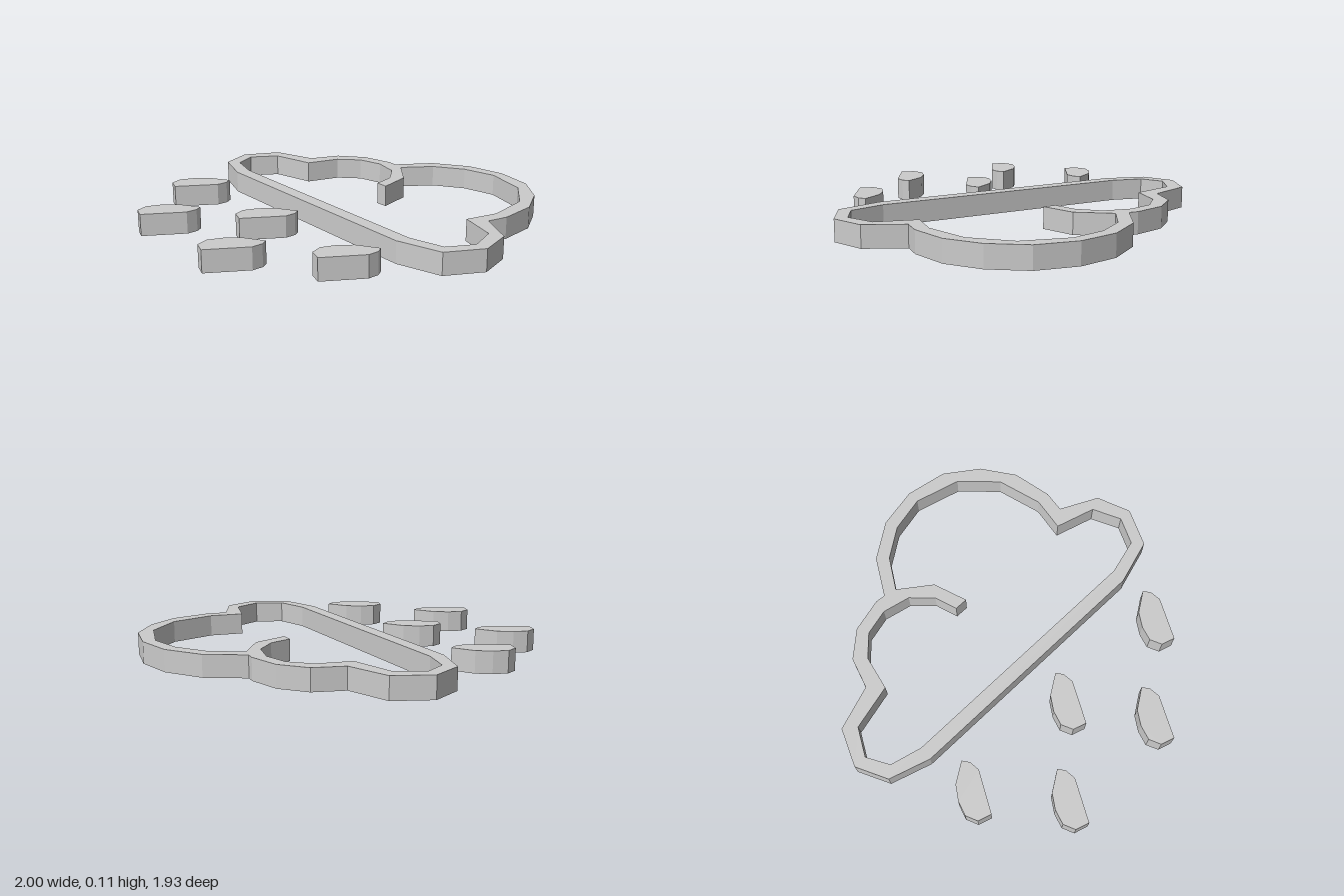
import * as THREE from 'three';

const HEIGHT = 0.113;
const material = new THREE.MeshStandardMaterial({ color: 0xcccccc, flatShading: true });

const toPoints = (pairs) => pairs.map(([x, z]) => new THREE.Vector2(x, z));

// Extrude a flat plan (x, z) upwards from the ground.
function slab(name, outline, hole) {
  const shape = new THREE.Shape(toPoints(outline));
  if (hole) shape.holes.push(new THREE.Path(toPoints(hole)));
  const geometry = new THREE.ExtrudeGeometry(shape, { depth: HEIGHT, bevelEnabled: false });
  geometry.rotateX(Math.PI / 2).translate(0, HEIGHT, 0);
  const mesh = new THREE.Mesh(geometry, material);
  mesh.name = name;
  return mesh;
}

export function createModel() {
  const model = new THREE.Group();
  model.name = 'rainCloud';

  // Cloud: outer edge
  const outer = [
    [-1, -0.03], [-0.92, -0.22], [-0.69, -0.3], [-0.64, -0.46], [-0.515, -0.57],
    [-0.34, -0.615], [-0.29, -0.61], [-0.18, -0.8], [0, -0.925], [0.21, -0.968],
    [0.425, -0.93], [0.595, -0.81], [0.71, -0.645], [0.75, -0.44], [0.735, -0.33],
    [0.93, -0.235], [0.997, -0.06], [0.91, 0.13], [0.675, 0.2], [-0.705, 0.2], [-0.92, 0.133],
  ];
  // Cloud: inner edge, including the curl that hooks inside
  const inner = [
    [-0.93, -0.03], [-0.865, 0.085], [-0.7, 0.127], [0.68, 0.127], [0.865, 0.077],
    [0.928, -0.06], [0.86, -0.205], [0.652, -0.265], [0.68, -0.44], [0.617, -0.675],
    [0.45, -0.84], [0.21, -0.903], [0.025, -0.86], [-0.125, -0.755], [-0.222, -0.595],
    [-0.057, -0.475], [0.003, -0.296], [-0.067, -0.296], [-0.105, -0.415], [-0.205, -0.513],
    [-0.35, -0.545], [-0.485, -0.51], [-0.58, -0.41], [-0.62, -0.23], [-0.855, -0.17],
  ];
  model.add(slab('cloudOutline', outer, inner));

  // Raindrops: three in the upper row, two in the lower
  const drop = [
    [-0.6, 0.313], [-0.575, 0.348], [-0.57, 0.406], [-0.676, 0.607],
    [-0.746, 0.585], [-0.773, 0.524], [-0.75, 0.45], [-0.703, 0.38],
  ];
  const offsets = [[0, 0], [0.655, 0], [1.305, 0], [0.31, 0.357], [0.915, 0.357]];
  offsets.forEach(([x, z], i) => {
    const raindrop = slab(`raindrop${i + 1}`, drop);
    raindrop.position.set(x, 0, z);
    model.add(raindrop);
  });

  return model;
}
